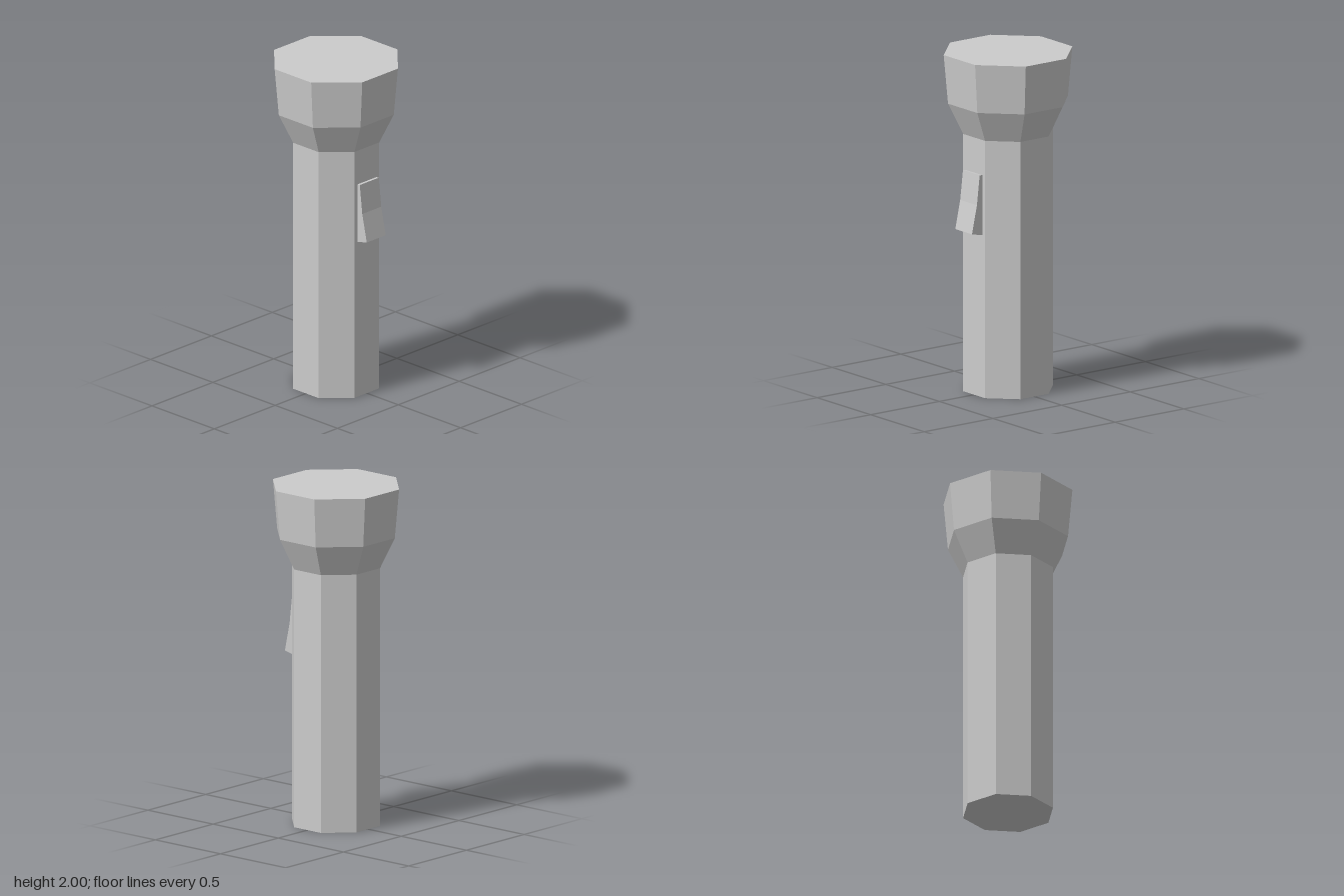
import * as THREE from 'three';

const SIDES = 8;
const material = new THREE.MeshStandardMaterial({ color: 0xcccccc, flatShading: true });

function addMesh(group, name, geometry) {
  const mesh = new THREE.Mesh(geometry, material);
  mesh.name = name;
  group.add(mesh);
}

// Octagonal solid with a flat face to the front; profile is [face distance, y], bottom to top
function octagonal(profile) {
  const toCorner = 1 / Math.cos(Math.PI / SIDES);
  const points = profile.map(([d, y]) => new THREE.Vector2(d * toCorner, y));
  return new THREE.LatheGeometry(points, SIDES, Math.PI / SIDES);
}

export function createModel() {
  const torch = new THREE.Group();
  torch.name = 'flashlight';

  // Straight handle with a closed base
  addMesh(torch, 'handle', octagonal([[0, 0], [0.247, 0], [0.247, 1.525]]));

  // Flared head with a flat lens face on top
  addMesh(torch, 'head', octagonal([[0.247, 1.525], [0.33, 1.71], [0.354, 2]]));
  addMesh(torch, 'lens', octagonal([[0.354, 2], [0, 2]]));

  // Bent thumb switch: side profile (z, y) extruded across x
  const width = 0.156;
  const profile = new THREE.Shape([
    [0.23, 0.957], [0.323, 0.978], [0.287, 1.145], [0.267, 1.319], [0.23, 1.315],
  ].map(([z, y]) => new THREE.Vector2(z, y)));
  const slider = new THREE.ExtrudeGeometry(profile, { depth: width, bevelEnabled: false });
  slider.rotateY(-Math.PI / 2).translate(width / 2, 0, 0);
  addMesh(torch, 'switch', slider);

  return torch;
}
